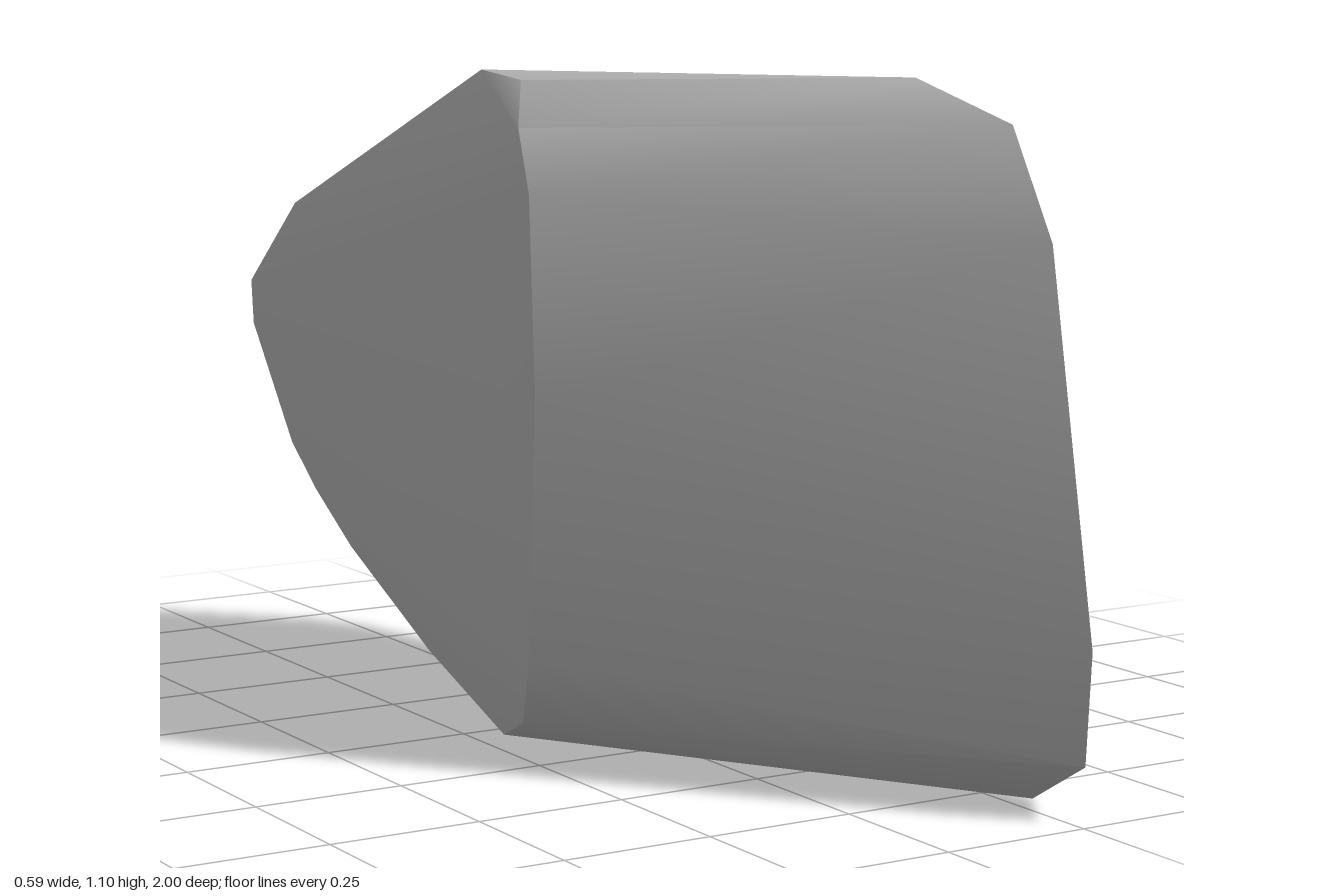
import * as THREE from 'three';
import { ConvexGeometry } from 'three/addons/geometries/ConvexGeometry.js';
import { toCreasedNormals } from 'three/addons/utils/BufferGeometryUtils.js';

// Outline of the left (+x) end face: x, y, z
const leftEnd = [
  [0.235, 1.04, 0.82], [0.235, 0.87, 0.92], [0.26, 0.27, 1.0], [0.267, 0.09, 0.98],
  [0.295, 0.003, 0.82], [0.29, 0.003, 0.70], [0.262, 0.24, -0.08], [0.235, 0.44, -0.57],
  [0.227, 0.53, -0.61], [0.225, 0.65, -0.60], [0.228, 0.77, -0.46], [0.23, 1.0, 0.25],
  [0.18, 1.104, 0.65],
];

// Outline of the right (-x) end face, slanted and shifted back
const rightEnd = [
  [-0.15, 0.66, -1.0], [-0.151, 0.58, -0.99], [-0.167, 0.38, -0.80], [-0.175, 0.31, -0.69],
  [-0.19, 0.23, -0.52], [-0.215, 0.105, -0.18], [-0.23, 0.02, 0.10], [-0.257, 0.065, 0.21],
  [-0.293, 0.18, 0.29], [-0.297, 0.60, 0.32], [-0.29, 0.92, 0.29], [-0.28, 1.02, 0.24],
  [-0.235, 1.09, 0.17], [-0.222, 1.10, 0.02], [-0.15, 0.82, -0.81], [-0.14, 0.71, -0.95],
];

export function createModel() {
  const stone = new THREE.MeshStandardMaterial({ color: 0xb0b0b0 });
  stone.name = 'stoneGrey';

  // Skin the two end faces together, smooth around the rim and sharp at the ends
  const points = [...leftEnd, ...rightEnd].map((p) => new THREE.Vector3(...p));
  const geometry = toCreasedNormals(new ConvexGeometry(points), THREE.MathUtils.degToRad(38));

  const rock = new THREE.Mesh(geometry, stone);
  rock.name = 'rock';

  const group = new THREE.Group();
  group.name = 'slantedRock';
  group.add(rock);
  return group;
}
